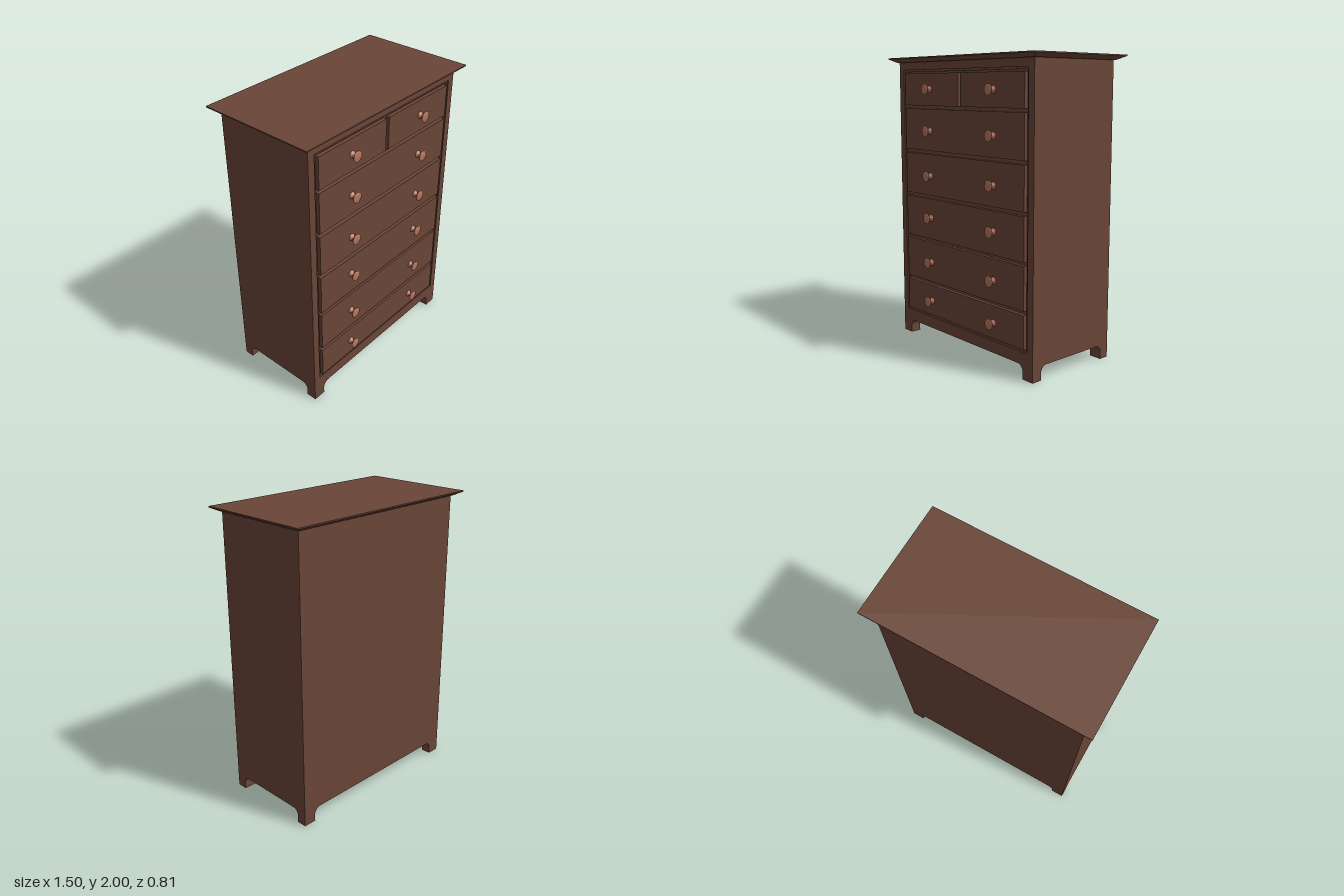
import * as THREE from 'three';

const wood = new THREE.MeshStandardMaterial({ color: 0x6a4537 });
wood.name = 'dark brown wood';
const knobWood = new THREE.MeshStandardMaterial({ color: 0xb3745c });
knobWood.name = 'light brown wood';

function add(parent, name, geometry, material = wood) {
  const mesh = new THREE.Mesh(geometry, material);
  mesh.name = name;
  parent.add(mesh);
  return mesh;
}

// Axis-aligned box from its limits
function box(x0, x1, y0, y1, z0, z1) {
  return new THREE.BoxGeometry(x1 - x0, y1 - y0, z1 - z0)
    .translate((x0 + x1) / 2, (y0 + y1) / 2, (z0 + z1) / 2);
}

// Closed solid through rectangular sections [y, x0, x1, z0, z1], bottom to top
function loft(sections) {
  const p = [];
  const rings = sections.map(([y, x0, x1, z0, z1]) =>
    [[x0, y, z1], [x1, y, z1], [x1, y, z0], [x0, y, z0]]);
  const quad = (a, b, c, d) => p.push(...a, ...b, ...c, ...a, ...c, ...d);
  for (let i = 0; i < rings.length - 1; i++) {
    for (let k = 0; k < 4; k++) {
      const n = (k + 1) % 4;
      quad(rings[i][k], rings[i][n], rings[i + 1][n], rings[i + 1][k]);
    }
  }
  const [a, b, c, d] = rings[0];
  quad(d, c, b, a);
  quad(...rings[rings.length - 1]);
  const g = new THREE.BufferGeometry();
  g.setAttribute('position', new THREE.Float32BufferAttribute(p, 3));
  g.computeVertexNormals();
  return g;
}

// Rectangular frame with a rectangular opening
function frame(outer, inner, z0, z1) {
  const rect = (Type, [x, y0, y1]) => new Type([
    new THREE.Vector2(-x, y0), new THREE.Vector2(x, y0),
    new THREE.Vector2(x, y1), new THREE.Vector2(-x, y1)]);
  const shape = rect(THREE.Shape, outer);
  shape.holes.push(rect(THREE.Path, inner));
  return new THREE.ExtrudeGeometry(shape, { depth: z1 - z0, bevelEnabled: false }).translate(0, 0, z0);
}

export function createModel() {
  const model = new THREE.Group();
  model.name = 'chestOfDrawers';
  const W = 0.69, back = -0.345, front = 0.35, base = 0.095, top = 1.967;

  // Carcass and the stepped frame round the drawers
  add(model, 'carcass', box(-W, W, base, top, back, 0.332));
  add(model, 'frontFrame', frame([W, base, top], [0.64, 0.175, 1.915], 0.332, front));
  add(model, 'innerBead', frame([0.64, 0.175, 1.915], [0.626, 0.187, 1.901], 0.332, 0.342));

  // Top board with its underside sloping outwards
  add(model, 'topBoard', loft([
    [top, -0.7, 0.7, -0.355, 0.36],
    [1.992, -0.75, 0.75, -0.405, 0.403],
    [2, -0.75, 0.75, -0.405, 0.403],
  ]));

  // Four feet, curving out into the underside
  const r = 0.045;
  for (const sx of [-1, 1]) {
    for (const sz of [-1, 1]) {
      const sections = [];
      for (let i = -1; i <= 7; i++) {
        const t = Math.max(i, 0) / 7 * Math.PI / 2;
        const y = i < 0 ? 0 : base - r + r * Math.sin(t);
        const grow = r * (1 - Math.cos(t));
        const xi = sx * (0.6 - grow), zi = sz * (0.277 - grow);
        const xo = sx * W, zo = sz > 0 ? front : back;
        sections.push([y, Math.min(xi, xo), Math.max(xi, xo), Math.min(zi, zo), Math.max(zi, zo)]);
      }
      add(model, 'foot', loft(sections));
    }
  }

  // Turned knob, pointing forward
  const knobGeometry = new THREE.LatheGeometry([
    [0.025, -0.002], [0.023, 0.006], [0.012, 0.013], [0.011, 0.024],
    [0.02, 0.031], [0.036, 0.038], [0.037, 0.043], [0.028, 0.047], [0, 0.049],
  ].map(([x, y]) => new THREE.Vector2(x, y)), 16).rotateX(Math.PI / 2);

  // Drawers: bottom, top, knob height, left and right limits
  const rows = [
    [0.195, 0.415, 0.3], [0.44, 0.725, 0.58], [0.747, 1.03, 0.897],
    [1.055, 1.34, 1.19], [1.365, 1.65, 1.5], [1.672, 1.89, 1.783],
  ];
  rows.forEach(([y0, y1, knobY], i) => {
    const spans = i === 5 ? [[-0.615, -0.013], [0.013, 0.615]] : [[-0.615, 0.615]];
    for (const [x0, x1] of spans) {
      add(model, 'drawerFront', box(x0, x1, y0, y1, 0.33, 0.357));
    }
    for (const x of [-0.327, 0.332]) {
      add(model, 'knob', knobGeometry, knobWood).position.set(x, knobY, 0.357);
    }
  });
  return model;
}
